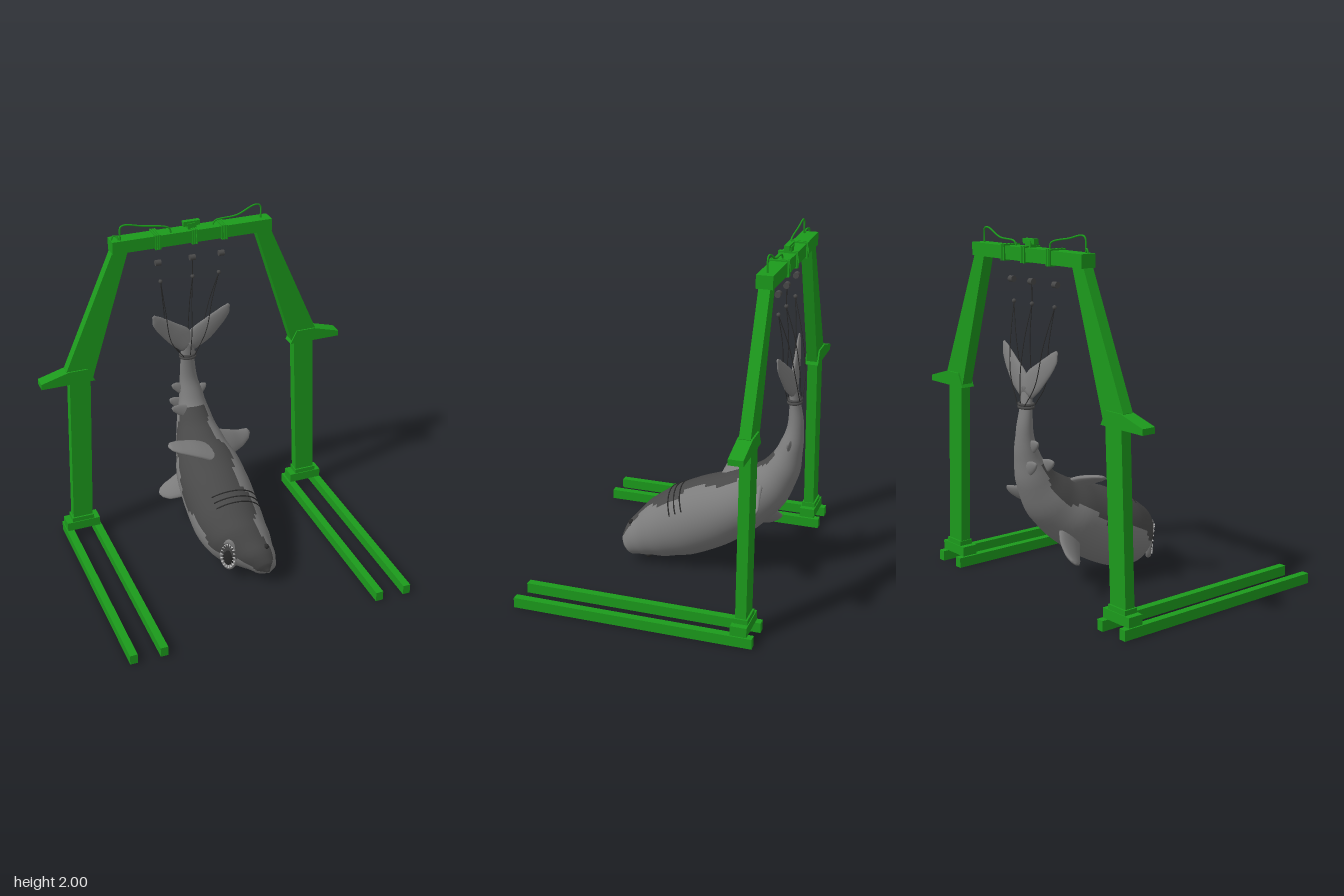
import * as THREE from 'three';

const V = (x, y, z) => new THREE.Vector3(x, y, z);
const mat = (color) => new THREE.MeshStandardMaterial({ color, roughness: 0.8, side: THREE.DoubleSide });
const green = mat(0x1c9a1c), grey = mat(0x7c7c7c), dark = mat(0x484848), black = mat(0x2a2a2a), white = mat(0xcccccc);

function add(parent, name, geo, material, x = 0, y = 0, z = 0) {
  const m = new THREE.Mesh(geo, material);
  m.name = name;
  m.position.set(x, y, z);
  parent.add(m);
  return m;
}
const box = (p, name, w, h, d, x, y, z, m = green) => add(p, name, new THREE.BoxGeometry(w, h, d), m, x, y, z);

function tube(p, name, pts, r, m) {
  const c = new THREE.CatmullRomCurve3(pts.map((q) => V(...q)), false, 'centripetal');
  return add(p, name, new THREE.TubeGeometry(c, pts.length * 6, r, 6), m);
}

// Elliptical sweep; each row is centre x, y, z, half width along uDir, half thickness
function sweep(rows, uDir) {
  const path = new THREE.CatmullRomCurve3(rows.map((r) => V(r[0], r[1], r[2])), false, 'centripetal');
  const size = new THREE.CatmullRomCurve3(rows.map((r) => V(r[3], r[4], 0)), false, 'catmullrom', 0.3);
  return (t, a, k = 1) => {
    const c = path.getPoint(t), s = size.getPoint(t);
    const v = uDir.clone().cross(path.getTangent(t)).normalize();
    return c.addScaledVector(uDir, Math.cos(a) * Math.max(s.x, 0.001) * k)
      .addScaledVector(v, Math.sin(a) * Math.max(s.y, 0.001) * k);
  };
}

// Closed skin over a sweep, with pinched ends
function skin(at, rings, sides) {
  const pos = [], idx = [];
  for (let i = -1; i <= rings + 1; i++) {
    const k = i < 0 || i > rings ? 0.001 : 1;
    const t = Math.min(Math.max(i / rings, 0), 1);
    for (let j = 0; j < sides; j++) pos.push(...at(t, (j / sides) * Math.PI * 2, k).toArray());
  }
  for (let i = 0; i < rings + 2; i++) {
    for (let j = 0; j < sides; j++) {
      const a = i * sides + j, b = i * sides + ((j + 1) % sides), c = a + sides, d = b + sides;
      idx.push(a, c, b, b, c, d);
    }
  }
  const g = new THREE.BufferGeometry();
  g.setAttribute('position', new THREE.Float32BufferAttribute(pos, 3));
  g.setIndex(idx);
  g.computeVertexNormals();
  return g;
}

const fin = (p, name, rows, u, m = grey) =>
  add(p, name, skin(sweep(rows, V(...u).normalize()), 16, 16), m);

function buildFrame() {
  const f = new THREE.Group();
  f.name = 'liftingFrame';
  const zc = -0.585;
  for (const s of [1, -1]) {
    // Ground rails and foot
    for (const x of [0.655, 0.83]) box(f, 'groundRail', 0.044, 0.058, 1.36, s * x, 0.029, 0.02);
    box(f, 'footBlock', 0.205, 0.055, 0.09, s * 0.745, 0.088, zc);
    box(f, 'footCollar', 0.135, 0.035, 0.08, s * 0.745, 0.125, zc);
    // Post, angled upper arm and the flange at the elbow
    const plates = {
      post: [0.06, [[0.685, 0.1], [0.805, 0.1], [0.77, 1.08], [0.645, 1.08]]],
      upperArm: [0.062, [[0.635, 1.07], [0.76, 1.07], [0.785, 1.15], [0.475, 1.85], [0.385, 1.85], [0.6, 1.18]]],
      elbowFlange: [0.08, [[0.62, 1.07], [0.94, 1.07], [0.94, 1.103], [0.775, 1.15], [0.66, 1.15]]],
    };
    for (const [name, [depth, pts]] of Object.entries(plates)) {
      const shape = new THREE.Shape(pts.map(([x, y]) => new THREE.Vector2(s * x, y)));
      const g = new THREE.ExtrudeGeometry(shape, { depth, bevelEnabled: false });
      add(f, name, g, green, 0, 0, zc - depth / 2);
    }
  }
  // Top beam with strap wraps
  box(f, 'topBeam', 0.96, 0.072, 0.09, 0, 1.874, zc);
  for (const x of [-0.215, 0.005, 0.185]) {
    for (const d of [-0.013, 0, 0.013]) box(f, 'strapWrap', 0.008, 0.088, 0.108, x + d, 1.874, zc);
  }
  // Centre clamp and bent cables
  box(f, 'clampPlate', 0.1, 0.028, 0.03, 0, 1.942, zc);
  box(f, 'clampStem', 0.05, 0.05, 0.04, 0, 1.92, zc);
  tube(f, 'cable', [[-0.13, 1.905, -0.56], [-0.14, 1.94, -0.56], [-0.3, 1.975, -0.56], [-0.4, 1.995, -0.56],
    [-0.425, 1.985, -0.56], [-0.428, 1.905, -0.56]], 0.005, green);
  tube(f, 'cable', [[0.13, 1.905, zc], [0.145, 1.932, zc], [0.28, 1.947, zc], [0.39, 1.993, zc],
    [0.422, 1.985, zc], [0.426, 1.905, zc]], 0.005, green);
  tube(f, 'cableLoop', [[-0.475, 1.905, -0.58], [-0.465, 1.93, -0.58], [-0.445, 1.93, -0.57], [-0.435, 1.905, -0.56]], 0.005, green);
  return f;
}

function buildShark() {
  const g = new THREE.Group();
  g.name = 'shark';
  // Body from snout to tail root, lying on its flank with the belly towards -x
  const at = sweep([
    [0.12, 0.09, 0.327, 0.012, 0.015], [0.11, 0.105, 0.3, 0.065, 0.07], [0.07, 0.15, 0.23, 0.12, 0.125],
    [0.02, 0.2, 0.12, 0.18, 0.18], [0, 0.26, -0.02, 0.205, 0.21], [0, 0.34, -0.18, 0.21, 0.21],
    [0, 0.43, -0.34, 0.2, 0.185], [0, 0.53, -0.48, 0.155, 0.15], [0, 0.66, -0.58, 0.11, 0.105],
    [0, 0.8, -0.63, 0.075, 0.068], [-0.01, 0.93, -0.65, 0.052, 0.045], [-0.015, 1.07, -0.64, 0.042, 0.03],
    [-0.01, 1.17, -0.63, 0.04, 0.02]], V(1, 0, 0));
  const sides = 48, rings = 60;
  const full = skin(at, rings, sides);
  // Divide the skin into a darker upper flank and the lighter remainder, with a wavy edge
  const parts = [[], []], src = full.index.array;
  for (let q = 0; q < src.length; q += 6) {
    const ring = Math.floor(q / 6 / sides), j = (q / 6) % sides;
    const wave = Math.round(1.5 * Math.sin(ring * 0.55));
    const upper = ring < 44 && j >= 8 + wave && j < 23 + wave;
    parts[upper ? 0 : 1].push(...src.slice(q, q + 6));
  }
  ['upperFlank', 'body'].forEach((name, i) => {
    const part = full.clone();
    part.setIndex(parts[i]);
    add(g, name, part, i ? grey : dark);
  });

  // Gill slits across the upper flank
  for (const t of [0.33, 0.35, 0.37]) {
    const pts = [];
    for (let a = 0.5; a <= 2.1; a += 0.2) pts.push(at(t, a, 1.004).toArray());
    tube(g, 'gillSlit', pts, 0.004, black);
  }

  // Eyes on both flanks of the head
  for (const a of [1.15, -1.15]) {
    const p = at(0.165, a, 0.98);
    add(g, 'eye', new THREE.SphereGeometry(0.016, 16, 12), black, p.x, p.y, p.z);
  }

  // Open mouth with lips and teeth
  const mouth = new THREE.Group();
  mouth.name = 'mouth';
  mouth.position.set(-0.075, 0.18, 0.19);
  mouth.rotation.set(0.1, -0.75, 0);
  add(mouth, 'mouthCavity', new THREE.SphereGeometry(1, 24, 16), black).scale.set(0.042, 0.09, 0.022);
  add(mouth, 'lips', new THREE.TorusGeometry(0.05, 0.011, 10, 32), grey).scale.set(0.95, 1.9, 1.6);
  for (let i = 0; i < 18; i++) {
    const a = (i / 18) * Math.PI * 2;
    const tooth = add(mouth, 'tooth', new THREE.ConeGeometry(0.006, 0.02, 5), white,
      Math.cos(a) * 0.036, Math.sin(a) * 0.078, 0.019);
    tooth.rotation.z = a + Math.PI / 2;
  }
  g.add(mouth);

  // Pectoral fins, dorsal fin and small rear fins
  fin(g, 'upperPectoralFin', [[0.06, 0.55, -0.29, 0.085, 0.03], [-0.08, 0.615, -0.3, 0.075, 0.024],
    [-0.19, 0.65, -0.305, 0.055, 0.018], [-0.245, 0.665, -0.31, 0.035, 0.012], [-0.262, 0.668, -0.313, 0.01, 0.005]], [0, -0.3, 1]);
  fin(g, 'lowerPectoralFin', [[-0.06, 0.38, -0.38, 0.09, 0.03], [-0.14, 0.29, -0.45, 0.08, 0.024],
    [-0.21, 0.24, -0.485, 0.06, 0.018], [-0.25, 0.225, -0.5, 0.035, 0.012], [-0.265, 0.22, -0.505, 0.01, 0.005]], [0, -0.55, 0.8]);
  fin(g, 'dorsalFin', [[0.08, 0.53, -0.44, 0.11, 0.03], [0.18, 0.515, -0.465, 0.08, 0.022],
    [0.27, 0.505, -0.495, 0.055, 0.016], [0.325, 0.515, -0.515, 0.035, 0.012], [0.342, 0.52, -0.52, 0.01, 0.005]], [0, 0.8, -0.5]);
  for (const [x, y, z, dx] of [[-0.05, 0.73, -0.56, -0.1], [-0.05, 0.73, -0.66, -0.08], [-0.035, 0.84, -0.64, -0.085], [0.04, 0.81, -0.635, 0.06]]) {
    fin(g, 'rearFin', [[x - dx * 0.2, y - 0.01, z, 0.05, 0.014], [x + dx * 0.5, y + 0.02, z, 0.035, 0.011],
      [x + dx * 0.9, y + 0.035, z, 0.018, 0.008], [x + dx, y + 0.04, z, 0.006, 0.004]], [0, 1, -0.15]);
  }
  // Two tail lobes
  for (const s of [1, -1]) {
    fin(g, 'tailLobe', [[-0.01, 1.15, -0.633, 0.06, 0.022], [s * 0.07, 1.215, -0.625, 0.07, 0.018],
      [s * 0.15, 1.285, -0.615, 0.055, 0.014], [s * 0.21, 1.345, -0.605, 0.036, 0.01],
      [s * 0.236, 1.385, -0.6, 0.01, 0.005]], [s * 0.75, -0.65, 0]);
  }
  return g;
}

function buildRigging() {
  const g = new THREE.Group();
  g.name = 'rigging';
  const lines = [[-0.205, -0.193, -0.13, 1.2], [0.003, 0.003, 0.0, 1.25], [0.18, 0.165, 0.09, 1.24]];
  for (const [xHook, xBall, xTail, yTail] of lines) {
    const hook = add(g, 'hookPin', new THREE.CylinderGeometry(0.017, 0.017, 0.034, 16), dark, xHook, 1.73, -0.58);
    hook.rotation.z = Math.PI / 2;
    add(g, 'ropeBall', new THREE.SphereGeometry(0.012, 12, 8), dark, xBall, 1.612, -0.58);
    // Paired strands running in front of and behind the tail
    for (const z of [-0.595, -0.665]) {
      tube(g, 'rope', [[xBall, 1.61, -0.58], [(xBall + xTail) / 2, (1.62 + yTail) / 2, (z - 0.6) / 2],
        [xTail, yTail, z], [xTail * 0.3 - 0.01, 1.08, z - 0.01]], 0.0025, black);
    }
  }
  tube(g, 'shortRope', [[0.003, 1.72, -0.58], [0.003, 1.66, -0.58], [0.003, 1.61, -0.58]], 0.003, black);
  // Rope collar around the tail root
  for (const y of [1.066, 1.082]) {
    const ring = add(g, 'tailCollar', new THREE.TorusGeometry(0.046, 0.008, 8, 28), dark, -0.014, y, -0.64);
    ring.rotation.x = Math.PI / 2;
    ring.scale.y = 0.8;
  }
  return g;
}

export function createModel() {
  const model = new THREE.Group();
  model.name = 'hangingShark';
  model.add(buildFrame(), buildShark(), buildRigging());
  return model;
}
